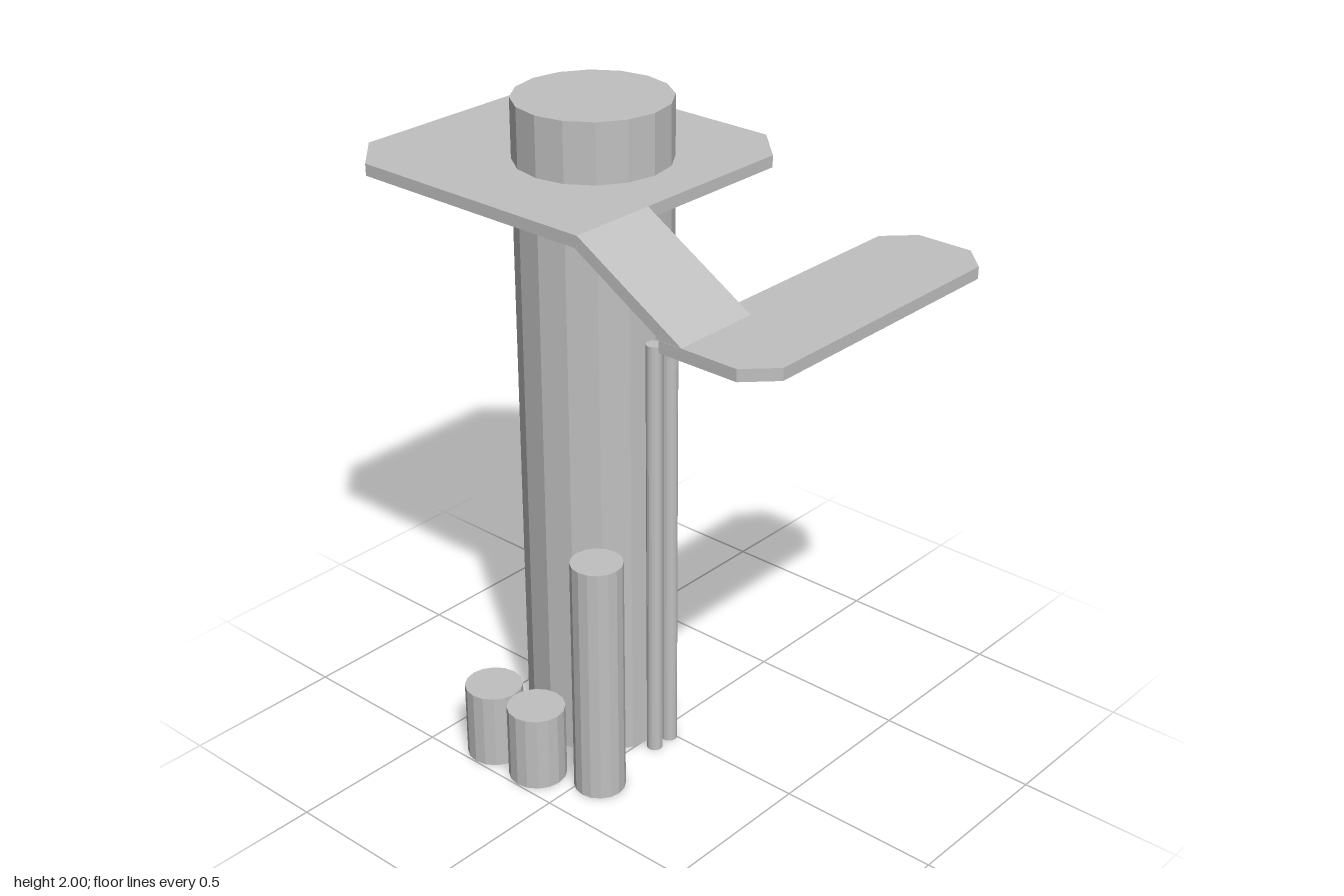
import * as THREE from 'three';

const grey = new THREE.MeshStandardMaterial({ color: 0xc0c0c0, flatShading: true });
grey.name = 'plain grey';

function addMesh(group, name, geometry) {
  const mesh = new THREE.Mesh(geometry, grey);
  mesh.name = name;
  group.add(mesh);
  return mesh;
}

// Upright faceted cylinder standing on the ground
function addPillar(group, name, x, z, radius, height) {
  const mesh = addMesh(group, name, new THREE.CylinderGeometry(radius, radius, height, 16));
  mesh.position.set(x, height / 2, z);
}

function extrude(points, depth) {
  const shape = new THREE.Shape(points.map(([a, b]) => new THREE.Vector2(a, b)));
  return new THREE.ExtrudeGeometry(shape, { depth, bevelEnabled: false });
}

// Horizontal slab from an (x, z) outline
function addSlab(group, name, outline, y, thickness) {
  const geometry = extrude(outline.map(([x, z]) => [x, -z]), thickness);
  geometry.rotateX(-Math.PI / 2);
  addMesh(group, name, geometry).position.y = y;
}

export function createModel() {
  const model = new THREE.Group();
  model.name = 'tower';

  // Columns and rods
  addPillar(model, 'mainTower', -0.213, 0.043, 0.226, 2);
  addPillar(model, 'mediumColumn', 0.045, 0.33, 0.077, 0.762);
  for (const x of [-0.31, -0.134]) addPillar(model, 'shortColumn', x, 0.41, 0.087, 0.237);
  for (const z of [0.015, 0.081]) addPillar(model, 'thinRod', 0.042, z, 0.024, 1.35);

  // Upper deck around the tower, with three cut corners
  addSlab(model, 'upperDeck', [
    [-0.64, -0.41], [0.03, -0.41], [0.15, -0.29], [0.15, 0.495],
    [-0.64, 0.495], [-0.76, 0.375], [-0.76, -0.29],
  ], 1.79, 0.035);

  // Lower deck, with three cut corners
  addSlab(model, 'lowerDeck', [
    [0.505, -0.5], [0.675, -0.5], [0.755, -0.42], [0.755, 0.415],
    [0.675, 0.495], [0.425, 0.495], [0.425, -0.42],
  ], 1.586, 0.035);

  // Sloping ramp joining the decks
  const ramp = extrude([[0.14, 1.79], [0.48, 1.59], [0.498, 1.621], [0.15, 1.825]], 0.269);
  addMesh(model, 'ramp', ramp).position.z = 0.225;

  return model;
}
